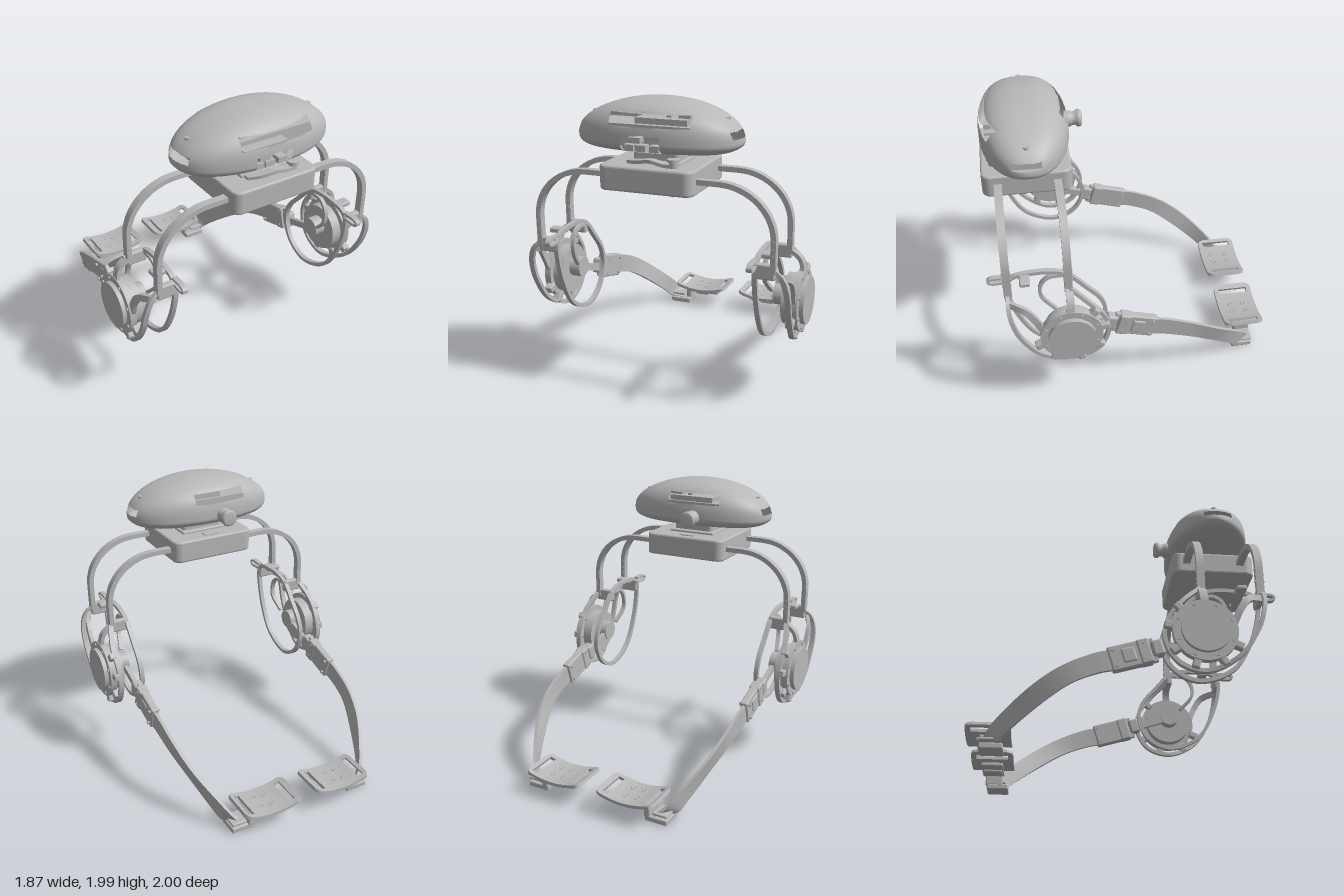
import * as THREE from 'three';
import { RoundedBoxGeometry } from 'three/addons/geometries/RoundedBoxGeometry.js';

const grey = new THREE.MeshStandardMaterial({ color: 0xb8b8b8 });
grey.name = 'grey';
const shellGrey = grey.clone();
shellGrey.name = 'grey shell';
shellGrey.side = THREE.DoubleSide;

function add(parent, name, geo, mat = grey) {
  const m = new THREE.Mesh(geo, mat);
  m.name = name;
  parent.add(m);
  return m;
}

// Box from its limits, optionally with rounded edges
function box(parent, name, x0, x1, y0, y1, z0, z1, r = 0) {
  const s = [x1 - x0, y1 - y0, z1 - z0];
  const m = add(parent, name, r ? new RoundedBoxGeometry(...s, 3, r) : new THREE.BoxGeometry(...s));
  m.position.set((x0 + x1) / 2, (y0 + y1) / 2, (z0 + z1) / 2);
  return m;
}

// Cylinder along an axis
function rod(parent, name, axis, r, len, x, y, z, sides = 40) {
  const g = new THREE.CylinderGeometry(r, r, len, sides);
  if (axis === 'x') g.rotateZ(-Math.PI / 2);
  if (axis === 'z') g.rotateX(Math.PI / 2);
  const m = add(parent, name, g);
  m.position.set(x, y, z);
  return m;
}

// Flat bar along a path of [x, y, z] with half-width vector W (one, or one per point)
function sweep(parent, name, path, W, thick, closed = false, steps = 48) {
  const v = a => new THREE.Vector3(...a);
  const pos = new THREE.CatmullRomCurve3(path.map(v), closed, 'catmullrom');
  const wid = Array.isArray(W[0]) ? new THREE.CatmullRomCurve3(W.map(v), closed, 'catmullrom') : null;
  const P = [], idx = [], corners = [];
  const signs = [[1, 1], [-1, 1], [-1, -1], [1, -1]];
  for (let i = 0; i <= steps; i++) {
    const t = i / steps, p = pos.getPoint(t), T = pos.getTangent(t);
    const w = wid ? wid.getPoint(t) : v(W);
    const n = T.clone().cross(w).normalize().multiplyScalar(thick / 2);
    const c = signs.map(([a, b]) => p.clone().addScaledVector(w, a).addScaledVector(n, b));
    corners.push(c);
    for (let k = 0; k < 4; k++) P.push(...c[k].toArray(), ...c[(k + 1) % 4].toArray());
  }
  for (let i = 0; i < steps; i++) for (let k = 0; k < 4; k++) {
    const a = i * 8 + k * 2, d = a + 8;
    idx.push(a, a + 1, d + 1, a, d + 1, d);
  }
  if (!closed) {
    const s = P.length / 3;
    [corners[0], corners[steps]].forEach(c => c.forEach(q => P.push(...q.toArray())));
    idx.push(s, s + 2, s + 1, s, s + 3, s + 2, s + 4, s + 5, s + 6, s + 4, s + 6, s + 7);
  }
  const g = new THREE.BufferGeometry();
  g.setAttribute('position', new THREE.Float32BufferAttribute(P, 3));
  g.setIndex(idx);
  g.computeVertexNormals();
  return add(parent, name, g);
}

// Egg-like hollow housing with openings left out of the surface
function housingGeometry() {
  const N = 150, M = 150, cx = -0.015, cz = 0.668, cy = 1.745;
  const wins = [ // x0, x1, y0, y1, facing
    [-0.25, 0.28, 1.845, 1.92, 1], [-0.16, 0.1, 1.685, 1.79, 1], [-0.27, 0.13, 1.845, 1.92, -1]];
  const P = [], idx = [];
  const near = (val, list) => list.find(e => Math.abs(e - val) < 0.0055) ?? val;
  const spow = (c, e) => Math.sign(c) * Math.abs(c) ** e;
  for (let i = 0; i <= N; i++) {
    const x = near(cx - 0.555 * Math.cos(Math.PI * i / N), wins.flatMap(w => [w[0], w[1]]));
    const u = Math.min(1, Math.abs(x - cx) / 0.555);
    const D = 0.298 * Math.sqrt(1 - u ** 2.2), T = 0.25 * (1 - u * u) ** 0.53, B = 0.083 * Math.sqrt(1 - u ** 6);
    for (let j = 0; j < M; j++) {
      const a = 2 * Math.PI * j / M, c = Math.cos(a), s = Math.sin(a);
      const z = cz + D * spow(c, 2 / 2.6);
      let y = cy + (s > 0 ? T : B) * spow(s, 2 / 2.6);
      for (const w of wins) if (x >= w[0] && x <= w[1] && (z - cz) * w[4] > 0.1) y = near(y, [w[2], w[3]]);
      P.push(x, y, z);
    }
  }
  const open = (x, y, z) => wins.some(w => x > w[0] && x < w[1] && y > w[2] && y < w[3] && (z - cz) * w[4] > 0)
    || (Math.abs(x - cx) > 0.4 && y > 1.77 && y < 1.815 && z > 0.58 && z < 0.78);
  for (let i = 0; i < N; i++) for (let j = 0; j < M; j++) {
    const a = i * M + j, b = i * M + (j + 1) % M, c = b + M, d = a + M;
    const mid = k => (P[a * 3 + k] + P[b * 3 + k] + P[c * 3 + k] + P[d * 3 + k]) / 4;
    if (!open(mid(0), mid(1), mid(2))) idx.push(a, d, c, a, c, b);
  }
  const g = new THREE.BufferGeometry();
  g.setAttribute('position', new THREE.Float32BufferAttribute(P, 3));
  g.setIndex(idx);
  g.computeVertexNormals();
  return g;
}

// Parts that exist once on each side, modelled on +x
function buildSide() {
  const s = new THREE.Group();
  const X = h => [h, 0, 0];

  // Shoulder arches
  for (const z of [0.868, 0.478]) {
    const pts = [[0.29, 1.522, z], [0.37, 1.522, z]];
    for (let i = 0; i <= 8; i++) {
      const a = Math.PI / 2 * (1 - i / 8);
      pts.push([0.45 + 0.352 * Math.cos(a), 1.2 + 0.322 * Math.sin(a), z]);
    }
    pts.push([0.802, 1.1, z], [0.802, 1.0, z]);
    sweep(s, 'arch', pts, [0, 0, 0.026], 0.034, false, 60);
    for (const y of [1.1, 1.15, 1.195]) rod(s, 'archScrew', 'z', 0.011, 0.06, 0.802, y, z, 12);
  }

  // Inner hip frame with its front handle
  const loop = [[0.95, 0.875], [0.72, 0.815], [0.52, 0.69], [0.432, 0.48], [0.5, 0.31], [0.65, 0.23], [0.79, 0.255],
    [0.92, 0.36], [1.03, 0.46], [1.075, 0.56], [1.082, 0.7], [1.055, 0.84]];
  sweep(s, 'innerFrame', loop.map(([y, z]) => [0.686, y, z]), X(0.016), 0.026, true, 90);
  sweep(s, 'innerBrace', [[0.686, 1.04, 0.5], [0.686, 1.03, 0.6], [0.686, 0.96, 0.655], [0.686, 0.86, 0.65], [0.71, 0.76, 0.56]], X(0.014), 0.022);
  sweep(s, 'frontHandle', [[0.684, 1.065, 0.86], [0.684, 1.065, 0.96], [0.684, 1.045, 0.99], [0.684, 1.025, 0.96], [0.684, 1.03, 0.86]], X(0.018), 0.016);
  box(s, 'frontBridge', 0.675, 0.815, 0.95, 1.05, 0.845, 0.89, 0.012);
  box(s, 'topBridge', 0.675, 0.79, 1.05, 1.085, 0.72, 0.79, 0.012);
  box(s, 'rearBridge', 0.675, 0.815, 0.97, 1.06, 0.455, 0.5, 0.012);

  // Outer hip cage bowing outward around the drive
  sweep(s, 'outerFrame', [[0.8, 1.02, 0.87], [0.86, 0.96, 0.875], [0.89, 0.85, 0.86], [0.89, 0.7, 0.81], [0.88, 0.53, 0.69],
    [0.85, 0.435, 0.5], [0.85, 0.48, 0.32], [0.85, 0.63, 0.23], [0.85, 0.78, 0.25], [0.85, 0.91, 0.345], [0.81, 1.03, 0.47]], X(0.018), 0.026, false, 80);
  sweep(s, 'cageArm', [[0.83, 0.96, 0.87], [0.88, 0.93, 0.77], [0.89, 0.85, 0.71], [0.88, 0.74, 0.66]], X(0.014), 0.045);
  sweep(s, 'cageArm', [[0.81, 1.02, 0.475], [0.87, 0.97, 0.475], [0.89, 0.9, 0.48], [0.88, 0.84, 0.5]], [0, 0, 0.026], 0.026);

  // Drive unit
  const cy = 0.69, cz = 0.477;
  rod(s, 'driveBody', 'x', 0.17, 0.08, 0.83, cy, cz, 48);
  rod(s, 'driveFlange', 'x', 0.208, 0.045, 0.885, cy, cz, 64);
  rod(s, 'driveCap', 'x', 0.158, 0.03, 0.922, cy, cz, 48);
  rod(s, 'drivePivot', 'x', 0.072, 0.1, 0.76, cy + 0.02, cz, 32);
  for (let i = 0; i < 8; i++) {
    const a = Math.PI * 2 * (i + 0.5) / 8;
    rod(s, 'driveBolt', 'x', 0.011, 0.012, 0.91, cy + 0.184 * Math.sin(a), cz + 0.184 * Math.cos(a), 12);
  }
  for (const a of [-2.75, -2.1, -1.3, -0.6, 0.15, 0.8]) { // cage spokes
    const m = box(s, 'cageSpoke', 0, 0.055, 0, 0.05, 0, 0.07, 0.01);
    m.position.set(0.868, cy + 0.225 * Math.sin(a), cz - 0.225 * Math.cos(a));
    m.rotation.x = a;
  }

  // Pivot arm and strap adjuster
  sweep(s, 'pivotArm', [[0.735, 0.71, 0.5], [0.735, 0.66, 0.35], [0.735, 0.61, 0.19]], X(0.015), 0.05);
  const adj = new THREE.Group();
  adj.name = 'strapAdjuster';
  adj.position.set(0.74, 0.57, 0.035);
  adj.rotation.x = -0.28;
  s.add(adj);
  box(adj, 'adjusterHinge', -0.035, 0.035, -0.05, 0.06, 0.13, 0.205, 0.015);
  box(adj, 'adjusterBody', -0.028, 0.028, -0.085, 0.085, -0.15, 0.11, 0.012);
  box(adj, 'adjusterFront', -0.038, 0.038, -0.085, 0.085, 0.04, 0.12, 0.012);
  box(adj, 'adjusterButton', -0.02, 0.036, -0.05, 0.05, -0.07, 0.02, 0.012);
  for (const y of [-0.055, 0.055]) for (const z of [-0.12, 0.08]) rod(adj, 'adjusterScrew', 'x', 0.011, 0.085, 0, y, z, 12);
  for (const y of [-0.062, 0.062]) box(adj, 'hingeLink', -0.015, 0.015, y - 0.018, y + 0.018, 0.1, 0.15);

  // Twisting strap
  sweep(s, 'strap', [[0.743, 0.535, -0.07], [0.74, 0.505, -0.2], [0.725, 0.43, -0.38], [0.675, 0.31, -0.56], [0.59, 0.155, -0.745], [0.535, 0.075, -0.815], [0.45, 0.04, -0.83]],
    [[0, 0.068, -0.015], [0, 0.063, -0.022], [0.002, 0.055, -0.032], [0.005, 0.052, -0.036], [-0.01, 0.045, -0.035], [-0.02, 0.03, -0.045], [0, 0.008, -0.058]], 0.022, false, 60);
  box(s, 'buckle', 0.385, 0.55, 0, 0.04, -0.9, -0.75, 0.01);
  box(s, 'buckleBar', 0.44, 0.55, 0.055, 0.075, -0.9, -0.77, 0.008);
  box(s, 'buckleLink', 0.385, 0.43, 0.03, 0.13, -0.91, -0.79, 0.01);

  // Curved back pad with strap slots
  const padY = x => 0.138 + 0.042 * ((x - 0.277) / 0.215) ** 2;
  const strip = (name, xs, zc, halves) => sweep(s, name, xs.map(x => [x, padY(x), zc]), halves.map(h => [0, 0, h]), 0.022, false, 16);
  strip('pad', [0.143, 0.2, 0.277, 0.36, 0.425], -0.855, [0.145, 0.145, 0.145, 0.145, 0.145]);
  strip('padEnd', [0.061, 0.07, 0.082, 0.102], -0.855, [0.1, 0.125, 0.138, 0.145]);
  strip('padEnd', [0.466, 0.476, 0.486, 0.494], -0.855, [0.145, 0.138, 0.125, 0.1]);
  for (const z of [-0.982, -0.728]) {
    strip('padRail', [0.1, 0.12, 0.145], z, [0.018, 0.018, 0.018]);
    strip('padRail', [0.422, 0.445, 0.468], z, [0.018, 0.018, 0.018]);
  }
  box(s, 'padMount', 0.14, 0.41, 0.095, 0.122, -0.93, -0.78, 0.01);
  box(s, 'padMountCore', 0.23, 0.34, 0.078, 0.13, -0.92, -0.79, 0.01);
  for (const x of [0.25, 0.335]) for (const z of [-0.905, -0.8]) {
    const ring = add(s, 'padEyelet', new THREE.TorusGeometry(0.016, 0.004, 8, 20).rotateX(Math.PI / 2));
    ring.position.set(x, padY(x) + 0.011, z);
  }
  return s;
}

export function createModel() {
  const root = new THREE.Group();
  root.name = 'wearableFrame';

  // Main housing and what shows through its openings
  add(root, 'housing', housingGeometry(), shellGrey);
  box(root, 'innerPack', -0.42, 0.39, 1.69, 1.83, 0.54, 0.8);
  box(root, 'portBoard', -0.19, 0.13, 1.69, 1.8, 0.8, 0.87);
  for (const [x0, x1, y0, y1] of [[-0.15, -0.085, 1.69, 1.73], [-0.075, -0.005, 1.69, 1.73], [0.02, 0.085, 1.69, 1.73], [-0.12, -0.04, 1.74, 1.775]])
    box(root, 'port', x0, x1, y0, y1, 0.87, 0.93);
  box(root, 'innerTray', -0.15, 0.2, 1.83, 1.868, 0.56, 0.76);
  box(root, 'innerPost', 0.04, 0.07, 1.83, 1.93, 0.6, 0.7);
  box(root, 'innerBlock', 0.12, 0.2, 1.83, 1.9, 0.6, 0.7);
  for (const x of [-0.462, 0.432]) rod(root, 'housingScrew', 'y', 0.02, 0.03, x, 1.876, 0.668, 16);

  // Rear knob
  const knob = add(root, 'rearKnob', new THREE.LatheGeometry([[0, 0], [0.045, 0], [0.056, 0.008], [0.06, 0.02], [0.058, 0.034], [0.046, 0.045], [0.046, 0.07], [0.054, 0.075], [0.054, 0.12]]
    .map(([r, y]) => new THREE.Vector2(r, y)).reverse(), 32).rotateX(Math.PI / 2), shellGrey);
  knob.position.set(-0.08, 1.75, 0.272);

  // Base box, neck and locking lever
  const [w, d, r] = [0.315, 0.298, 0.06];
  const plan = new THREE.Shape();
  const q = Math.PI / 2;
  [[w, d, 0], [-w, d, 1], [-w, -d, 2], [w, -d, 3]].forEach(([x, y, k]) =>
    plan.absarc(x - Math.sign(x) * r, y - Math.sign(y) * r, r - 0.015, k * q, (k + 1) * q, false));
  const base = add(root, 'baseBox', new THREE.ExtrudeGeometry(plan, { depth: 0.13, bevelSize: 0.015, bevelThickness: 0.015, bevelSegments: 3, curveSegments: 8 }).rotateX(-q));
  base.position.set(-0.003, 1.453, 0.675);
  box(root, 'neck', -0.15, 0.16, 1.59, 1.69, 0.555, 0.8, 0.025);
  box(root, 'neckFoot', -0.18, 0.18, 1.59, 1.615, 0.52, 0.83, 0.01);
  box(root, 'rearSocket', -0.06, 0.05, 1.59, 1.604, 0.42, 0.48);
  sweep(root, 'lockLever', [[-0.16, 1.607, 0.84], [-0.08, 1.618, 0.88], [0.02, 1.632, 0.9], [0.1, 1.612, 0.89], [0.165, 1.612, 0.89]], [0, 0, 0.028], 0.022);
  rod(root, 'leverKnob', 'y', 0.028, 0.055, 0.165, 1.618, 0.89, 24);
  rod(root, 'leverCap', 'y', 0.04, 0.016, 0.165, 1.645, 0.89, 24);
  rod(root, 'basePin', 'y', 0.008, 0.04, 0.155, 1.435, 0.89, 10);

  // Mirrored halves
  const left = buildSide();
  left.name = 'leftSide';
  const right = left.clone();
  right.name = 'rightSide';
  right.scale.x = -1;
  root.add(left, right);
  return root;
}
